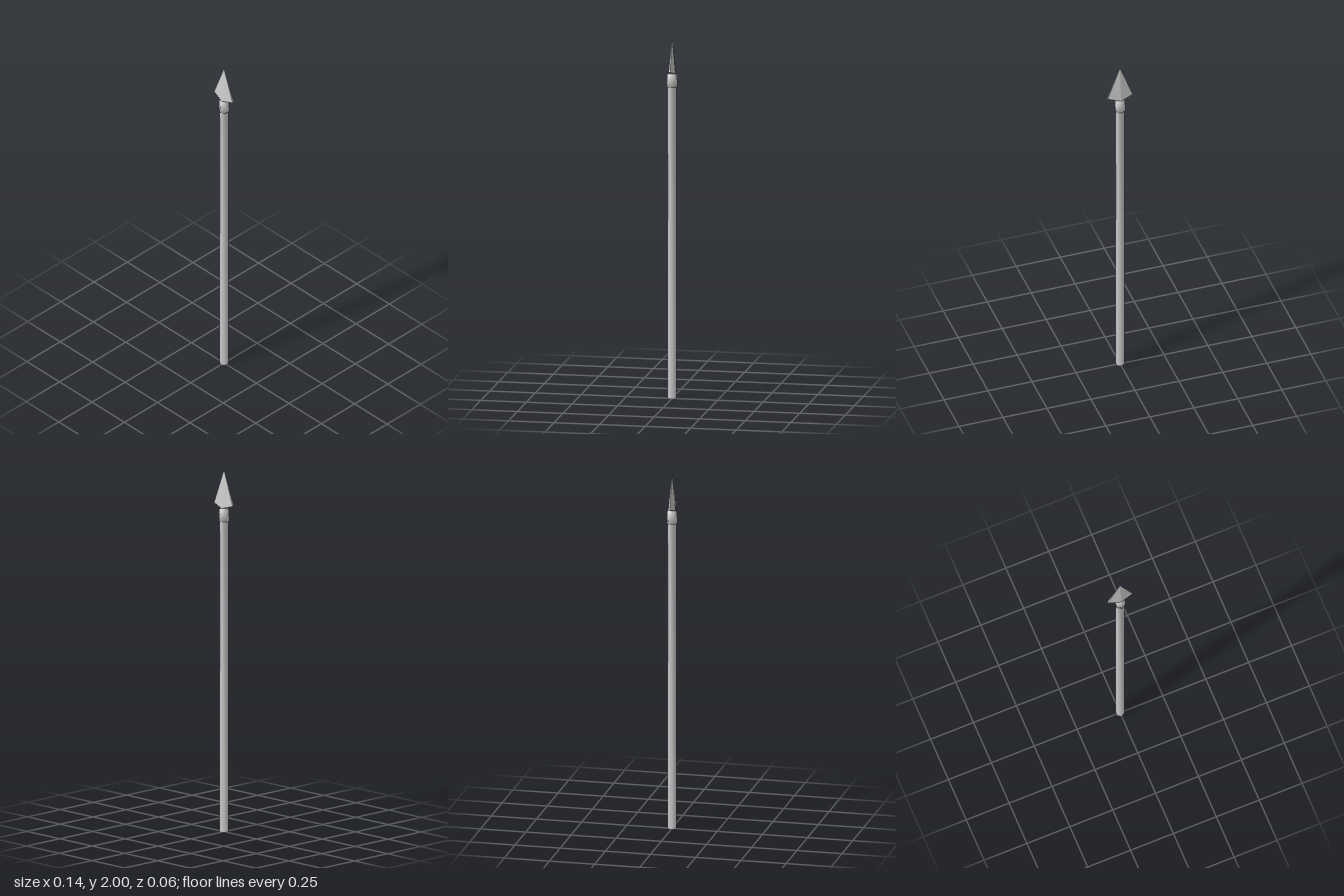
import * as THREE from 'three';
import { mergeVertices } from 'three/addons/utils/BufferGeometryUtils.js';

const SIDES = 6;

// Closed six-sided solid turned from a bottom-to-top profile of [radius, y]
function turned(profile) {
  return new THREE.LatheGeometry(profile.map(([r, y]) => new THREE.Vector2(r, y)), SIDES);
}

// Weld the seams so normals run smoothly over the edges
function smooth(geometry) {
  geometry.deleteAttribute('uv');
  geometry.deleteAttribute('normal');
  const welded = mergeVertices(geometry, 1e-5);
  welded.computeVertexNormals();
  return welded;
}

// Flattened pyramid: ridge on the front and back, thin blunt edges left and right
function bladeGeometry() {
  const g = turned([[0, 1.782], [1, 1.787], [0, 2]]);
  const p = g.attributes.position;
  for (let i = 0; i < p.count; i++) {
    const x = p.getX(i), y = p.getY(i), z = p.getZ(i);
    const onRidge = Math.abs(z) > 0.9;
    const lift = Math.abs(x) > 0.5 ? 0.02 : 0; // barbs sit above the ridge foot
    p.setXYZ(i, x * 0.0825, y + lift, z * (onRidge ? 0.019 : 0.01));
  }
  g.computeVertexNormals();
  return g;
}

export function createModel() {
  const group = new THREE.Group();
  group.name = 'spear';
  const add = (name, geometry, flatShading = false) => {
    const mesh = new THREE.Mesh(geometry, new THREE.MeshStandardMaterial({ color: 0xcccccc, flatShading }));
    mesh.name = name;
    group.add(mesh);
  };

  add('shaft', smooth(turned([[0, 0], [0.024, 0], [0.024, 1.73], [0, 1.73]])));
  add('collar', smooth(turned([[0, 1.715], [0.03, 1.715], [0.029, 1.75], [0.026, 1.783], [0, 1.785]])));
  add('blade', bladeGeometry(), true);
  return group;
}
